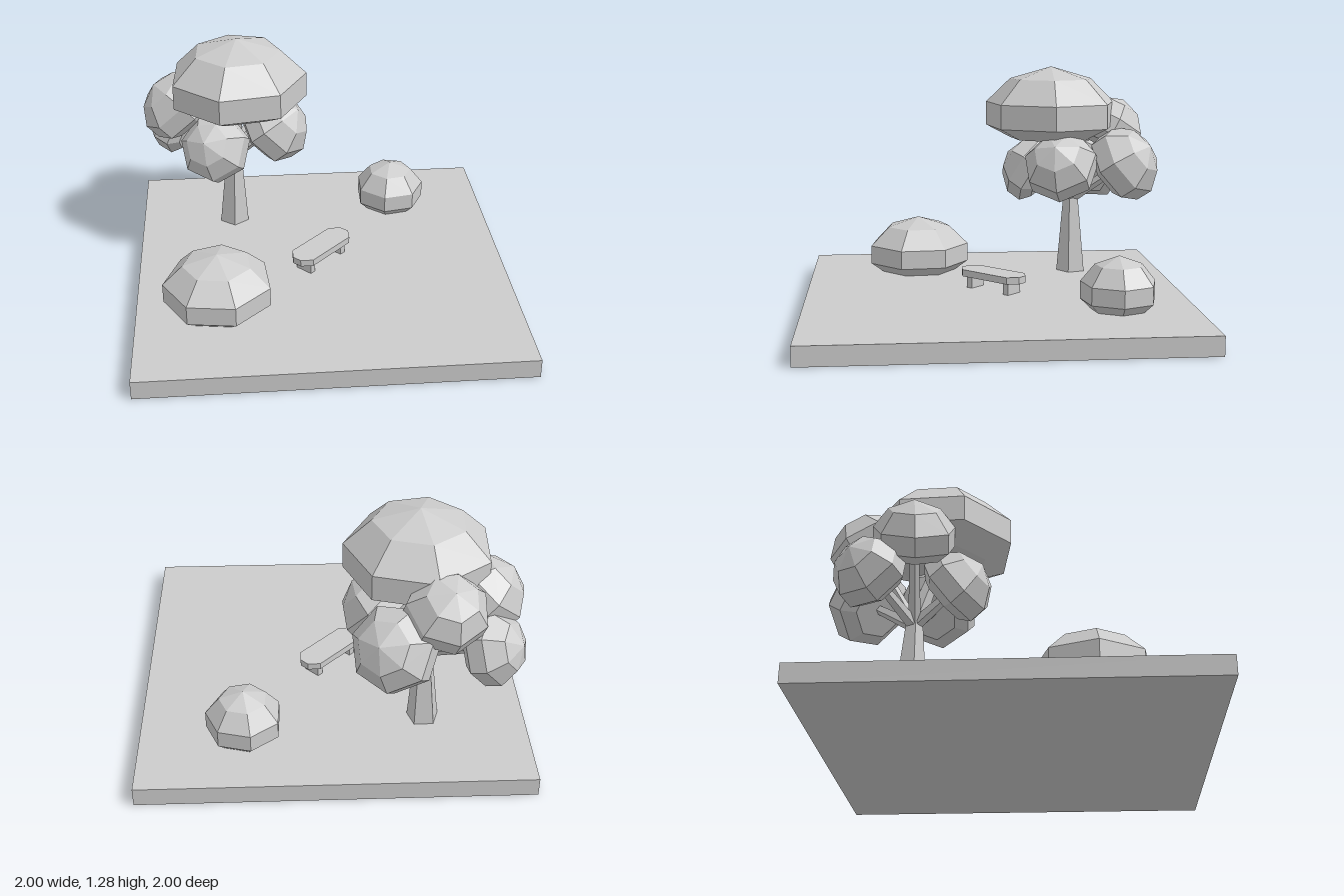
import * as THREE from 'three';

const mat = new THREE.MeshStandardMaterial({ color: 0xcccccc, flatShading: true });
const UP = new THREE.Vector3(0, 1, 0);

function add(parent, name, geometry) {
  const mesh = new THREE.Mesh(geometry, mat);
  mesh.name = name;
  parent.add(mesh);
  return mesh;
}

// Seven-sided faceted dome standing on its flat base; turn = angle of one corner from +x towards +z
function dome(radius, height, turn = 0, base = 0.7) {
  const profile = [[0, 0], [base, 0], [1, 0.17], [1, 0.5], [0.63, 0.83], [0, 1]]
    .map(([r, h]) => new THREE.Vector2(r * radius, h * height));
  return new THREE.LatheGeometry(profile, 7, Math.PI / 2 - THREE.MathUtils.degToRad(turn));
}

// Tapered limb between two points
function limb(parent, name, from, to, r0, r1, sides = 5) {
  const dir = to.clone().sub(from);
  const mesh = add(parent, name, new THREE.CylinderGeometry(r1, r0, dir.length(), sides));
  mesh.position.copy(from).lerp(to, 0.5);
  mesh.quaternion.setFromUnitVectors(UP, dir.normalize());
}

export function createModel() {
  const model = new THREE.Group();
  model.name = 'parkScene';

  // Ground slab
  add(model, 'ground', new THREE.BoxGeometry(2, 0.1, 2)).position.y = 0.05;

  // Bushes
  add(model, 'largeBush', dome(0.287, 0.31, 21, 0.75)).position.set(-0.57, 0.1, 0.39);
  add(model, 'smallBush', dome(0.197, 0.275, 2, 0.75)).position.set(0.46, 0.1, -0.6);

  // Tree: trunk, main crown and a ring of tilted leaf clumps on branches
  const tree = new THREE.Group();
  tree.name = 'tree';
  model.add(tree);
  const fork = new THREE.Vector3(-0.46, 0.53, -0.49);
  limb(tree, 'trunk', new THREE.Vector3(-0.47, 0.1, -0.495), fork, 0.085, 0.045);
  limb(tree, 'crownBranch', fork, new THREE.Vector3(-0.43, 0.92, -0.37), 0.045, 0.03);
  add(tree, 'crown', dome(0.375, 0.405, 3, 0.63)).position.set(-0.425, 0.88, -0.365);

  const clumps = [
    // centre x, y, z, radius
    [-0.57, 0.70, -0.25, 0.19],
    [-0.21, 0.76, -0.39, 0.205],
    [-0.27, 0.76, -0.78, 0.215],
    [-0.53, 0.95, -0.73, 0.205],
    [-0.78, 0.88, -0.46, 0.205],
    [-0.79, 0.68, -0.68, 0.19],
  ];
  clumps.forEach(([x, y, z, r], i) => {
    const centre = new THREE.Vector3(x, y, z);
    const axis = centre.clone().sub(fork).normalize();
    const height = r * 1.4;
    const clump = add(tree, 'leafClump', dome(r, height, i * 17));
    clump.quaternion.setFromUnitVectors(UP, axis);
    clump.position.copy(centre).addScaledVector(axis, -height * 0.45);
    limb(tree, 'branch', fork, centre, 0.035, 0.02);
  });

  // Bench set diagonally, with clipped corners
  const bench = new THREE.Group();
  bench.name = 'bench';
  bench.rotation.y = Math.PI / 4;
  model.add(bench);
  const [L, W, c] = [0.203, 0.075, 0.048];
  const outline = [[L, W - c], [L - c, W], [c - L, W], [-L, W - c], [-L, c - W], [c - L, -W], [L - c, -W], [L, c - W]]
    .map(([x, y]) => new THREE.Vector2(x, y));
  const seat = add(bench, 'seat',
    new THREE.ExtrudeGeometry(new THREE.Shape(outline), { depth: 0.037, bevelEnabled: false }));
  seat.rotation.x = -Math.PI / 2;
  seat.position.y = 0.165;
  for (const side of [-1, 1]) {
    add(bench, 'benchLeg', new THREE.BoxGeometry(0.036, 0.07, 0.1)).position.set(side * 0.128, 0.133, 0);
  }

  return model;
}
